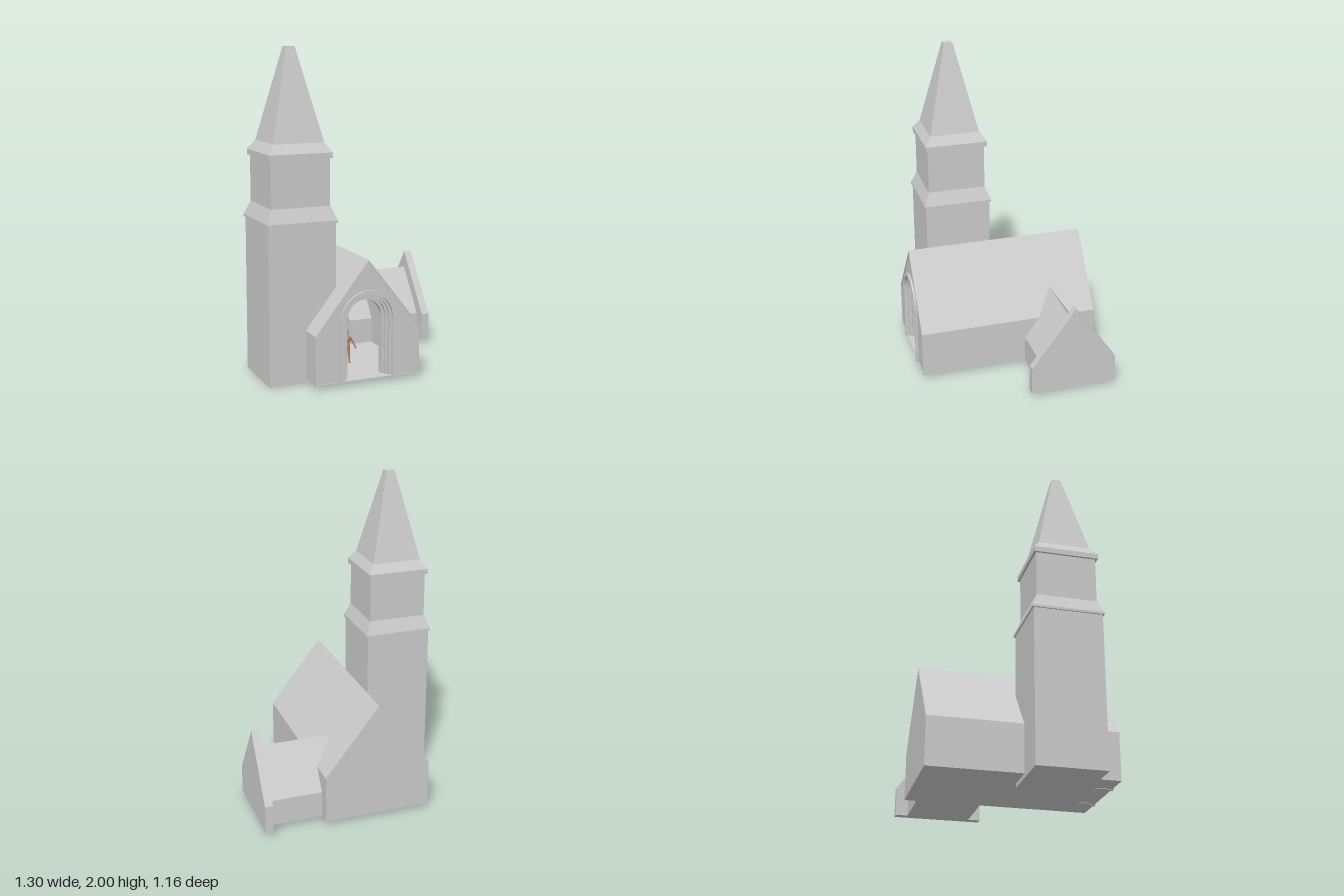
import * as THREE from 'three';

const grey = new THREE.MeshStandardMaterial({ color: 0xcccccc, flatShading: true });
const skin = new THREE.MeshStandardMaterial({ color: 0xb98566 });
const CX = -0.075; // nave axis

function add(parent, name, geometry, material = grey) {
  const mesh = new THREE.Mesh(geometry, material);
  mesh.name = name;
  parent.add(mesh);
  return mesh;
}

const toShape = (pts) => new THREE.Shape(pts.map(([x, y]) => new THREE.Vector2(x, y)));

function extrude(shape, z0, z1) {
  const g = new THREE.ExtrudeGeometry(shape, { depth: z1 - z0, bevelEnabled: false });
  return g.translate(0, 0, z0);
}

// House-shaped outline: floor, eaves and ridge
const gable = (c, half, floor, eave, ridge) =>
  [[c - half, floor], [c + half, floor], [c + half, eave], [c, ridge], [c - half, eave]];

// Round-headed arch path, from bottom right over the top to bottom left
function archPath(r, floor, spring = 0.393) {
  const pts = [[CX + r, floor]];
  for (let i = 0; i <= 20; i++) {
    const a = (i / 20) * Math.PI;
    pts.push([CX + r * Math.cos(a), spring + r * Math.sin(a)]);
  }
  pts.push([CX - r, floor]);
  return pts;
}

// Square tower section from [half width, height] pairs
function squareLathe(profile) {
  const pts = profile.map(([h, y]) => new THREE.Vector2(h * Math.SQRT2, y));
  return new THREE.LatheGeometry(pts, 4, Math.PI / 4);
}

function createNave() {
  const nave = new THREE.Group();
  nave.name = 'nave';

  // Hollow shell with roof, side walls and floor
  const shell = toShape(gable(CX, 0.34, 0.025, 0.325, 0.757));
  shell.holes.push(new THREE.Path(toShape(gable(CX, 0.336, 0.031, 0.313, 0.742)).getPoints()));
  add(nave, 'naveShell', extrude(shell, -0.578, 0.572));
  add(nave, 'backWall', extrude(toShape(gable(CX, 0.338, 0.027, 0.32, 0.75)), -0.58, -0.56));

  // Front wall, open at the doorway
  const front = [
    [CX + 0.18, 0.028], [CX + 0.338, 0.028], [CX + 0.338, 0.318], [CX, 0.748],
    [CX - 0.338, 0.318], [CX - 0.338, 0.028], ...archPath(0.18, 0.028).reverse().slice(0, -1),
  ];
  add(nave, 'frontWall', extrude(toShape(front), 0.48, 0.568));
  return nave;
}

function createPortal() {
  const portal = new THREE.Group();
  portal.name = 'portal';

  // Nested arches, each set further back
  const radii = [0.181, 0.158, 0.143, 0.128, 0.112];
  for (let i = 0; i < 4; i++) {
    const band = [...archPath(radii[i], 0.022), ...archPath(radii[i + 1], 0.022).reverse()];
    add(portal, 'archBand', extrude(toShape(band), 0.475, 0.582 - i * 0.022));
  }
  // Slim shafts standing in the steps
  for (const side of [-1, 1]) {
    for (let i = 1; i < 4; i++) {
      const shaft = add(portal, 'doorShaft', new THREE.CylinderGeometry(0.005, 0.005, 0.155, 8));
      shaft.position.set(CX + side * (radii[i] - 0.008), 0.21, 0.587 - i * 0.022);
    }
  }
  return portal;
}

function createTower() {
  const tower = new THREE.Group();
  tower.name = 'tower';
  add(tower, 'towerBase', squareLathe([[0, 0], [0.212, 0], [0.212, 0.97]]));
  add(tower, 'lowerCornice', squareLathe([[0.19, 0.965], [0.221, 0.965], [0.221, 0.98], [0.186, 1.065]]));
  add(tower, 'belfry', squareLathe([[0.186, 1.06], [0.186, 1.355]]));
  add(tower, 'upperCornice', squareLathe([[0.18, 1.35], [0.2, 1.35], [0.2, 1.383], [0.16, 1.44]]));
  add(tower, 'spire', squareLathe([[0.16, 1.44], [0.028, 2], [0, 2]]));
  tower.position.set(-0.4325, 0, 0.206);
  return tower;
}

function createTransept() {
  const transept = new THREE.Group();
  transept.name = 'transept';
  // Outlines are drawn across z, then turned to run along +x
  add(transept, 'transeptBody', extrude(toShape(gable(0, 0.198, 0.025, 0.193, 0.475)), 0.1, 0.61));
  add(transept, 'endGable', extrude(toShape(gable(0, 0.274, 0.025, 0.203, 0.585)), 0.6, 0.65));
  transept.rotation.y = Math.PI / 2;
  transept.position.z = -0.308;
  return transept;
}

function createVisitor() {
  const visitor = new THREE.Group();
  visitor.name = 'visitor';
  // Tapered limb between two points
  const limb = (name, a, b, ra, rb) => {
    const p = new THREE.Vector3(...a), q = new THREE.Vector3(...b);
    const d = q.clone().sub(p);
    const m = add(visitor, name, new THREE.CylinderGeometry(rb, ra, d.length(), 10), skin);
    m.position.copy(p).addScaledVector(d, 0.5);
    m.quaternion.setFromUnitVectors(new THREE.Vector3(0, 1, 0), d.normalize());
  };
  const ball = (name, pos, scale) => {
    const m = add(visitor, name, new THREE.SphereGeometry(1, 12, 10), skin);
    m.position.set(...pos);
    m.scale.set(...scale);
  };
  ball('head', [0, 0.202, 0], [0.011, 0.015, 0.013]);
  limb('neck', [0, 0.17, 0], [0, 0.195, 0], 0.006, 0.005);
  ball('chest', [0, 0.152, 0], [0.024, 0.026, 0.014]);
  ball('hips', [0, 0.113, 0], [0.019, 0.024, 0.013]);
  for (const s of [-1, 1]) {
    limb('upperArm', [s * 0.021, 0.166, 0], [s * 0.038, 0.135, 0], 0.007, 0.006);
    limb('forearm', [s * 0.038, 0.135, 0], [s * 0.053, 0.105, 0.005], 0.006, 0.004);
    ball('hand', [s * 0.055, 0.098, 0.006], [0.006, 0.009, 0.005]);
    limb('thigh', [s * 0.01, 0.105, 0], [s * 0.014, 0.055, 0], 0.01, 0.007);
    limb('shin', [s * 0.014, 0.055, 0], [s * 0.016, 0.006, 0], 0.007, 0.004);
    ball('foot', [s * 0.017, 0.005, 0.008], [0.006, 0.005, 0.013]);
  }
  visitor.position.set(CX, 0.031, 0.25);
  return visitor;
}

export function createModel() {
  const church = new THREE.Group();
  church.name = 'church';
  church.add(createNave(), createPortal(), createTower(), createTransept(), createVisitor());
  return church;
}
